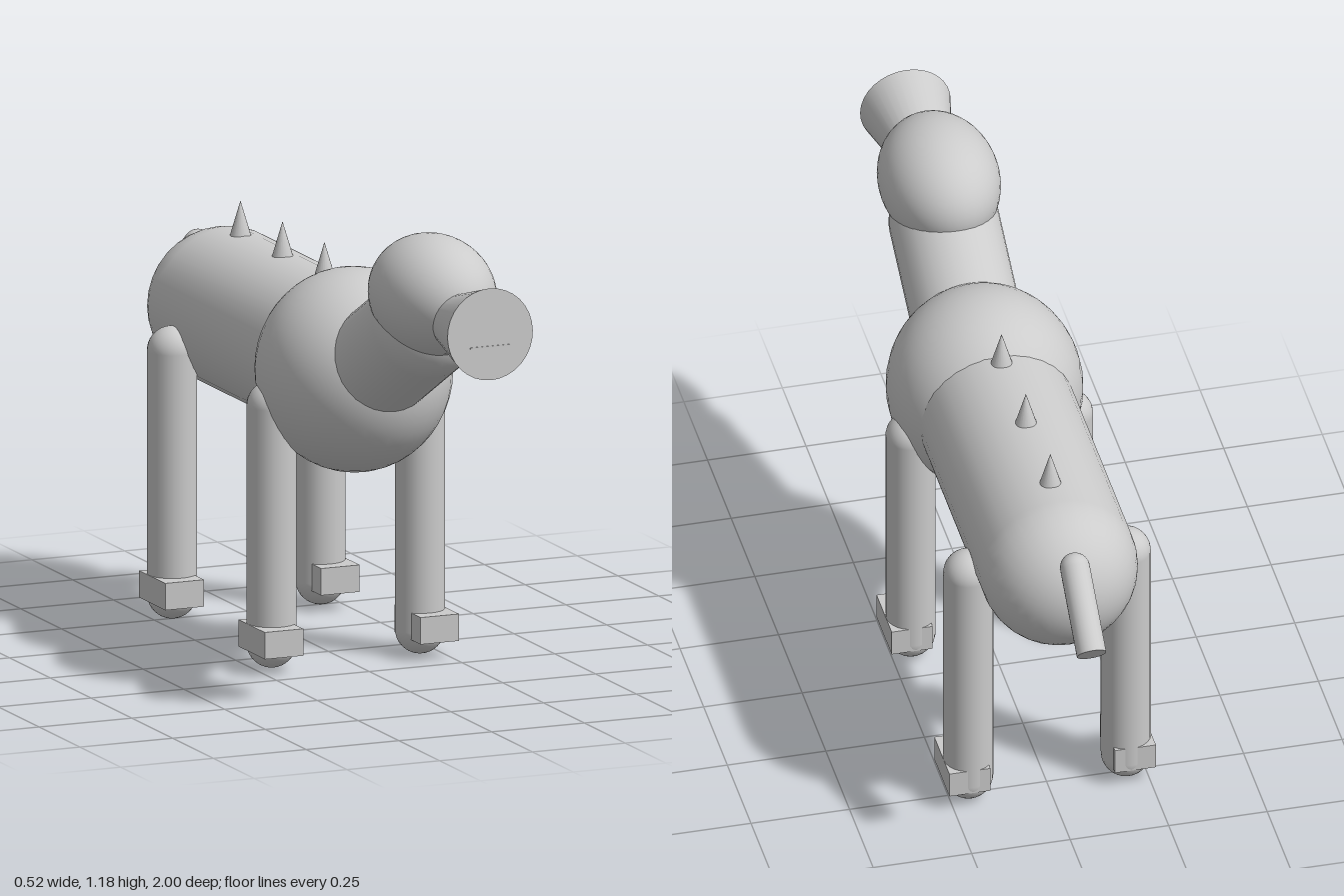
import * as THREE from 'three';

const grey = new THREE.MeshStandardMaterial({ color: 0xcccccc });
const UP = new THREE.Vector3(0, 1, 0);

function add(parent, name, geometry, x = 0, y = 0, z = 0) {
  const mesh = new THREE.Mesh(geometry, grey);
  mesh.name = name;
  mesh.position.set(x, y, z);
  parent.add(mesh);
  return mesh;
}

// Lays a y-axis geometry between two points [y, z] on the centre plane.
function addBetween(parent, name, from, to, makeGeometry) {
  const a = new THREE.Vector3(0, ...from);
  const b = new THREE.Vector3(0, ...to);
  const dir = b.clone().sub(a);
  const mesh = add(parent, name, makeGeometry(dir.length()));
  mesh.position.copy(a).add(b).multiplyScalar(0.5);
  mesh.quaternion.setFromUnitVectors(UP, dir.normalize());
  return mesh;
}

const capsule = (radius) => (length) => new THREE.CapsuleGeometry(radius, length, 12, 32);

export function createModel() {
  const model = new THREE.Group();
  model.name = 'animal';

  // Trunk and chest
  addBetween(model, 'body', [0.748, -0.623], [0.748, 0.1], capsule(0.197));
  add(model, 'chest', new THREE.SphereGeometry(0.255, 40, 24), 0, 0.745, 0.155).scale.x = 0.955;

  // Neck and head
  addBetween(model, 'neck', [0.727, 0.19], [0.944, 0.584], capsule(0.137));
  add(model, 'head', new THREE.SphereGeometry(0.15, 40, 24), 0, 1.033, 0.637).scale.set(1, 1, 1.36);

  // Flared snout with a thin mouth line
  addBetween(model, 'snout', [0.99, 0.72], [1.003, 0.991],
    (length) => new THREE.CylinderGeometry(0.115, 0.053, length, 32));
  add(model, 'mouth', new THREE.BoxGeometry(0.11, 0.004, 0.02), 0, 0.972, 0.984);

  // Legs with block feet
  for (const [place, z, top] of [['front', 0.105, 0.723], ['rear', -0.505, 0.738]]) {
    for (const [sideName, side] of [['Left', 1], ['Right', -1]]) {
      const leg = new THREE.Group();
      leg.name = `${place}${sideName}Leg`;
      leg.position.set(side * 0.2, 0, z);
      const r = 0.062;
      add(leg, 'shank', new THREE.CapsuleGeometry(r, top - 2 * r, 10, 24), 0, top / 2, 0);
      add(leg, 'foot', new THREE.BoxGeometry(0.104, 0.068, 0.16), side * 0.01, 0.079, 0.02);
      model.add(leg);
    }
  }

  // Spikes along the back
  for (const z of [-0.025, -0.282, -0.54]) {
    add(model, 'backSpike', new THREE.ConeGeometry(0.03, 0.1, 20), 0, 0.98, z);
  }

  // Tail with a rounded root
  const root = [0.868, -0.8];
  addBetween(model, 'tail', root, [0.727, -0.976],
    (length) => new THREE.CylinderGeometry(0.037, 0.037, length, 24));
  add(model, 'tailRoot', new THREE.SphereGeometry(0.037, 24, 16), 0, ...root);

  return model;
}
